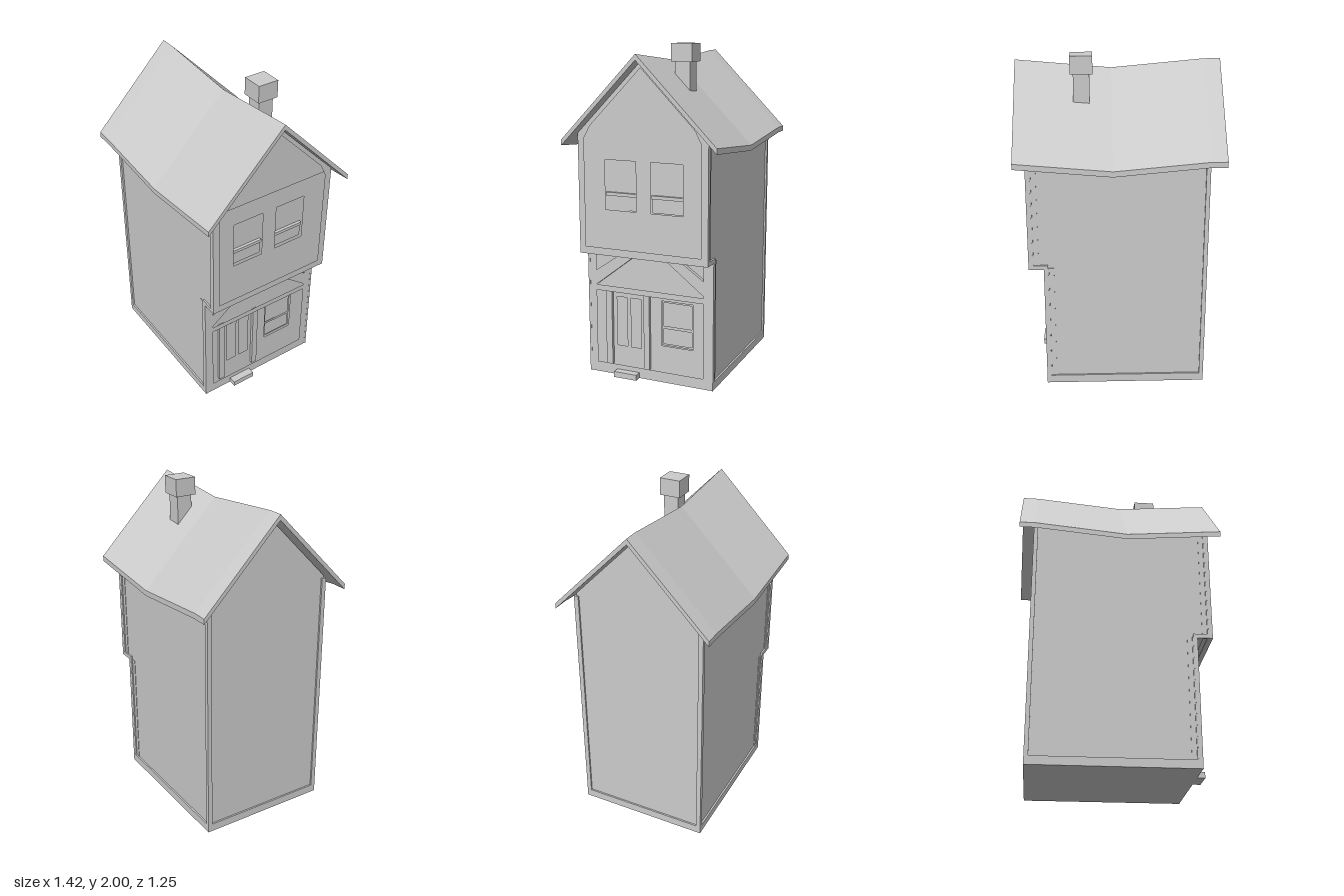
import * as THREE from 'three';

const material = new THREE.MeshStandardMaterial({ color: 0xcccccc, flatShading: true });

// Sag of the old roof along its ridge
function sag(x) {
  if (x < -0.51) return 0;
  return x < 0.04 ? -0.05 * (x + 0.51) / 0.55 : -0.05 * (0.605 - x) / 0.565;
}

// Skin through [y, z] cross-sections placed along x, capped at both ends
function loft(stations, section) {
  const rings = stations.map(x => section(x).map(([y, z]) => [x, y, z]));
  const pos = [];
  const n = rings[0].length;
  for (let i = 0; i < rings.length - 1; i++) {
    for (let j = 0; j < n; j++) {
      const k = (j + 1) % n;
      const a = rings[i][j], b = rings[i][k], c = rings[i + 1][k], d = rings[i + 1][j];
      pos.push(...a, ...b, ...c, ...a, ...c, ...d);
    }
  }
  const first = rings[0], last = rings[rings.length - 1];
  for (let j = 1; j < n - 1; j++) {
    pos.push(...last[0], ...last[j], ...last[j + 1]);
    pos.push(...first[0], ...first[j + 1], ...first[j]);
  }
  const g = new THREE.BufferGeometry();
  g.setAttribute('position', new THREE.Float32BufferAttribute(pos, 3));
  g.computeVertexNormals();
  return g;
}

const toShape = pts => new THREE.Shape(pts.map(p => new THREE.Vector2(...p)));
const rect = (a, b, c, d) => [[a, c], [b, c], [b, d], [a, d]];

// Plate drawn in (z, y), standing across x from x0 to x0 + depth
function crossPlate(pts, holes, x0, depth) {
  const flip = list => list.map(([z, y]) => [-z, y]);
  const shape = toShape(flip(pts));
  holes.forEach(h => shape.holes.push(toShape(flip(h))));
  return new THREE.ExtrudeGeometry(shape, { depth, bevelEnabled: false })
    .rotateY(Math.PI / 2).translate(x0, 0, 0);
}

export function createModel() {
  const model = new THREE.Group();
  model.name = 'house';
  const house = new THREE.Group();
  house.name = 'turnedHouse';
  house.rotation.y = -0.274;
  model.add(house);

  const add = (name, geometry) => {
    const mesh = new THREE.Mesh(geometry, material);
    mesh.name = name;
    house.add(mesh);
    return mesh;
  };
  const box = (name, x0, x1, y0, y1, z0, z1) =>
    add(name, new THREE.BoxGeometry(x1 - x0, y1 - y0, z1 - z0)
      .translate((x0 + x1) / 2, (y0 + y1) / 2, (z0 + z1) / 2));

  // Solid walls: ground floor and overhanging upper floor with gables
  box('groundFloor', -0.51, 0.395, 0, 0.8, -0.397, 0.397);
  add('upperFloor', loft([-0.51, 0.04, 0.485], x => {
    const s = sag(x);
    return [[1.495 + s, 0.397], [0.775, 0.397], [0.775, -0.397], [1.495 + s, -0.397], [1.9 + s, 0]];
  }));

  // Roof with thin eaves
  add('roof', loft([-0.605, -0.51, 0.04, 0.605], x => {
    const s = sag(x);
    return [[1.912 + s, 0], [1.422 + s, -0.48], [1.455 + s, -0.48],
      [1.945 + s, 0], [1.455 + s, 0.48], [1.422 + s, 0.48]];
  }));

  // Timber border on both long sides
  const sideFrame = toShape([[-0.52, 0], [0.45, 0], [0.45, 0.775], [0.54, 0.775], [0.54, 1.48],
    [0.515, 1.48], [0.515, 0.8], [0.425, 0.8], [0.425, 0.05], [-0.495, 0.05], [-0.495, 1.48], [-0.52, 1.48]]);
  for (const z of [-0.408, 0.395]) {
    add('sideFrame', new THREE.ExtrudeGeometry(sideFrame, { depth: 0.013, bevelEnabled: false })
      .translate(0, 0, z));
  }

  // Timber border on the back
  add('backFrame', crossPlate([[-0.405, 0], [0.405, 0], [0.405, 1.48], [0.38, 1.48],
    [0.38, 0.05], [-0.38, 0.05], [-0.38, 1.48], [-0.405, 1.48]], [], -0.52, 0.013));

  // Ground floor front: wall, window opening, outer frame and beam
  const lowWindow = rect(-0.27, -0.066, 0.22, 0.5);
  add('groundWall', crossPlate(rect(-0.4, 0.4, 0, 0.78), [lowWindow, rect(0.162, 0.23, 0.18, 0.49),
    rect(0.069, 0.136, 0.18, 0.49)], 0.39, 0.03));
  add('groundFrame', crossPlate(rect(-0.407, 0.407, 0, 0.78),
    [rect(-0.346, 0.352, 0.065, 0.525), rect(-0.346, 0.352, 0.56, 0.775)], 0.419, 0.03));

  // Diagonal braces below the overhang
  for (const s of [-1, 1]) {
    add('brace', crossPlate([[0.355 * s, 0.56], [0.355 * s, 0.65], [0.17 * s, 0.777], [0.075 * s, 0.777]],
      [], 0.419, 0.025));
  }

  // Door posts and doorstep
  box('doorPost', 0.415, 0.44, 0.06, 0.53, 0.256, 0.297);
  box('doorPost', 0.415, 0.44, 0.06, 0.53, 0.006, 0.043);
  box('doorstep', 0.44, 0.495, 0, 0.035, 0.07, 0.22);

  // Sash window on the ground floor
  add('groundWindowFrame', crossPlate(lowWindow,
    [rect(-0.258, -0.078, 0.232, 0.325), rect(-0.258, -0.078, 0.343, 0.488)], 0.39, 0.02));

  // Upper front: wall with two windows, gable panel and border
  const windows = [[0.05, 0.249], [-0.243, -0.044]];
  add('upperWall', crossPlate(rect(-0.4, 0.4, 0.78, 1.47),
    windows.map(([a, b]) => rect(a, b, 1.045, 1.34)), 0.48, 0.03));
  add('gablePanel', crossPlate([[-0.4, 1.46], [0.4, 1.46], [0.4, 1.485], [0, 1.89], [-0.4, 1.485]],
    [], 0.48, 0.035));
  add('upperFrame', crossPlate(
    [[-0.407, 0.775], [0.407, 0.775], [0.407, 1.49], [0, 1.902], [-0.407, 1.49]],
    [[[-0.365, 0.82], [0.368, 0.82], [0.368, 1.46], [0.327, 1.535], [0, 1.868], [-0.327, 1.535], [-0.365, 1.46]]],
    0.509, 0.031));
  for (const [a, b] of windows) {
    box('windowBar', 0.48, 0.503, 1.128, 1.148, a, b);
    box('lowerSash', 0.48, 0.492, 1.045, 1.13, a, b);
  }

  // Chimney
  box('chimneyShaft', 0.168, 0.262, 1.68, 1.9, -0.18, -0.086);
  box('chimneyCap', 0.15, 0.28, 1.895, 2, -0.198, -0.068);

  return model;
}
